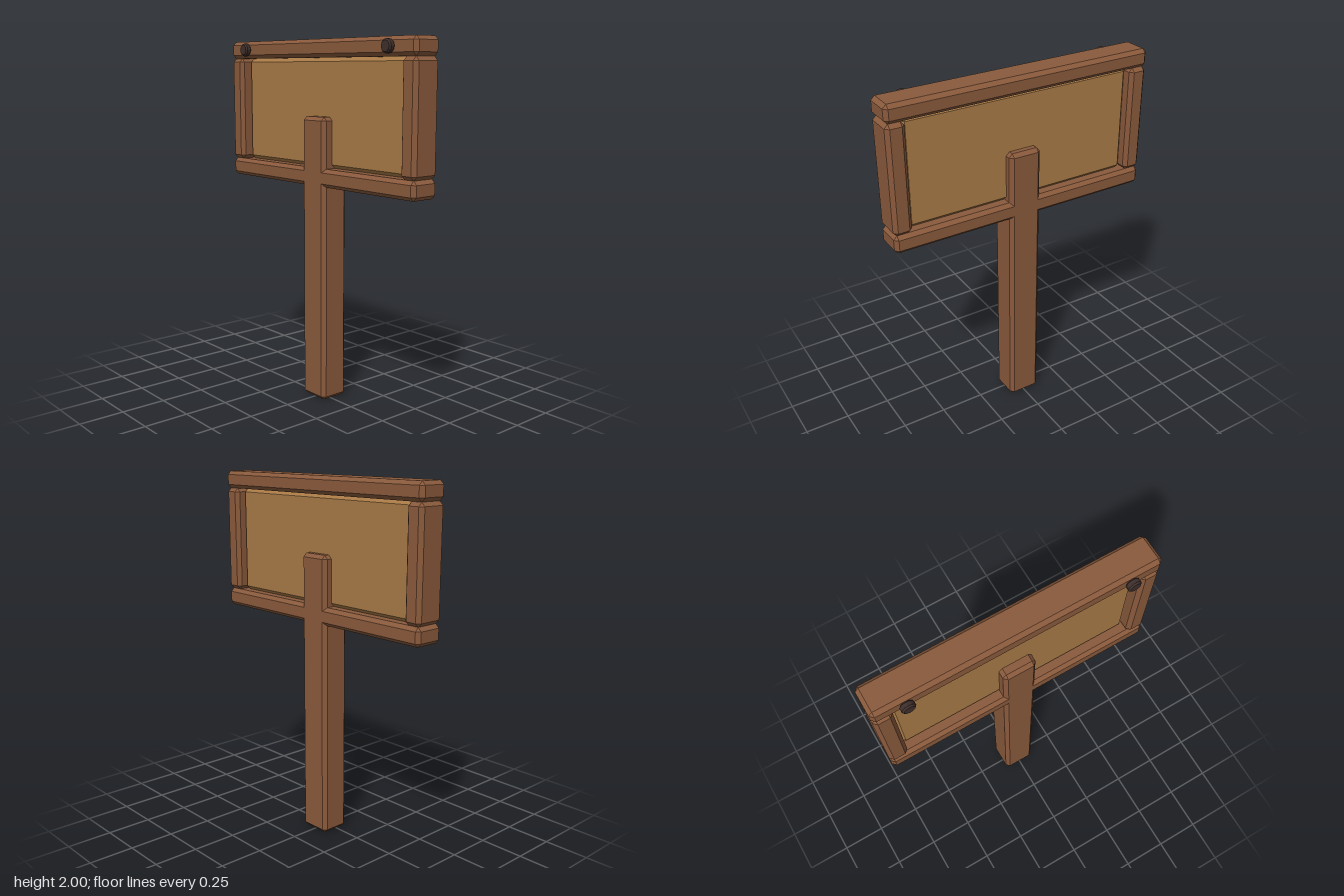
import * as THREE from 'three';
import { ConvexGeometry } from 'three/addons/geometries/ConvexGeometry.js';

const wood = new THREE.MeshStandardMaterial({ color: 0x8a5a3c });
wood.name = 'brown wood';
const board = new THREE.MeshStandardMaterial({ color: 0xa87a46 });
board.name = 'tan board';
const iron = new THREE.MeshStandardMaterial({ color: 0x3e2f2c });
iron.name = 'dark iron';

// Box with every edge and corner bevelled
function bevelledBox(w, h, d, c) {
  const points = [];
  for (const x of [-w / 2, w / 2])
    for (const y of [-h / 2, h / 2])
      for (const z of [-d / 2, d / 2]) {
        const ix = x - Math.sign(x) * c, iy = y - Math.sign(y) * c, iz = z - Math.sign(z) * c;
        points.push(
          new THREE.Vector3(x, iy, iz),
          new THREE.Vector3(ix, y, iz),
          new THREE.Vector3(ix, iy, z));
      }
  return new ConvexGeometry(points);
}

export function createModel() {
  const group = new THREE.Group();
  group.name = 'signpost';

  const addBeam = (name, x0, x1, y0, y1, z0, z1, material) => {
    const mesh = new THREE.Mesh(bevelledBox(x1 - x0, y1 - y0, z1 - z0, 0.02), material);
    mesh.position.set((x0 + x1) / 2, (y0 + y1) / 2, (z0 + z1) / 2);
    mesh.name = name;
    group.add(mesh);
  };

  // Post and frame share the same depth
  const back = -0.104, front = 0.065;
  addBeam('post', -0.094, 0.092, 0, 1.59, back, front, wood);
  addBeam('topRail', -0.757, 0.757, 1.903, 2, back, front, wood);
  addBeam('bottomRail', -0.757, 0.757, 1.213, 1.313, back, front, wood);
  addBeam('leftStile', 0.655, 0.757, 1.313, 1.903, back, front, wood);
  addBeam('rightStile', -0.757, -0.655, 1.313, 1.903, back, front, wood);

  // Recessed sign board
  addBeam('panel', -0.66, 0.66, 1.313, 1.903, -0.055, 0.005, board);

  // Bevelled pegs on the top rail
  const profile = [[0, 0], [0.028, 0], [0.036, 0.008], [0.036, 0.028], [0.028, 0.036], [0, 0.036]]
    .map(([r, y]) => new THREE.Vector2(r, y));
  const pegGeometry = new THREE.LatheGeometry(profile, 12).toNonIndexed();
  pegGeometry.computeVertexNormals();
  for (const [name, x] of [['leftPeg', 0.585], ['rightPeg', -0.588]]) {
    const peg = new THREE.Mesh(pegGeometry, iron);
    peg.rotation.x = Math.PI / 2;
    peg.position.set(x, 1.952, front);
    peg.name = name;
    group.add(peg);
  }
  return group;
}
